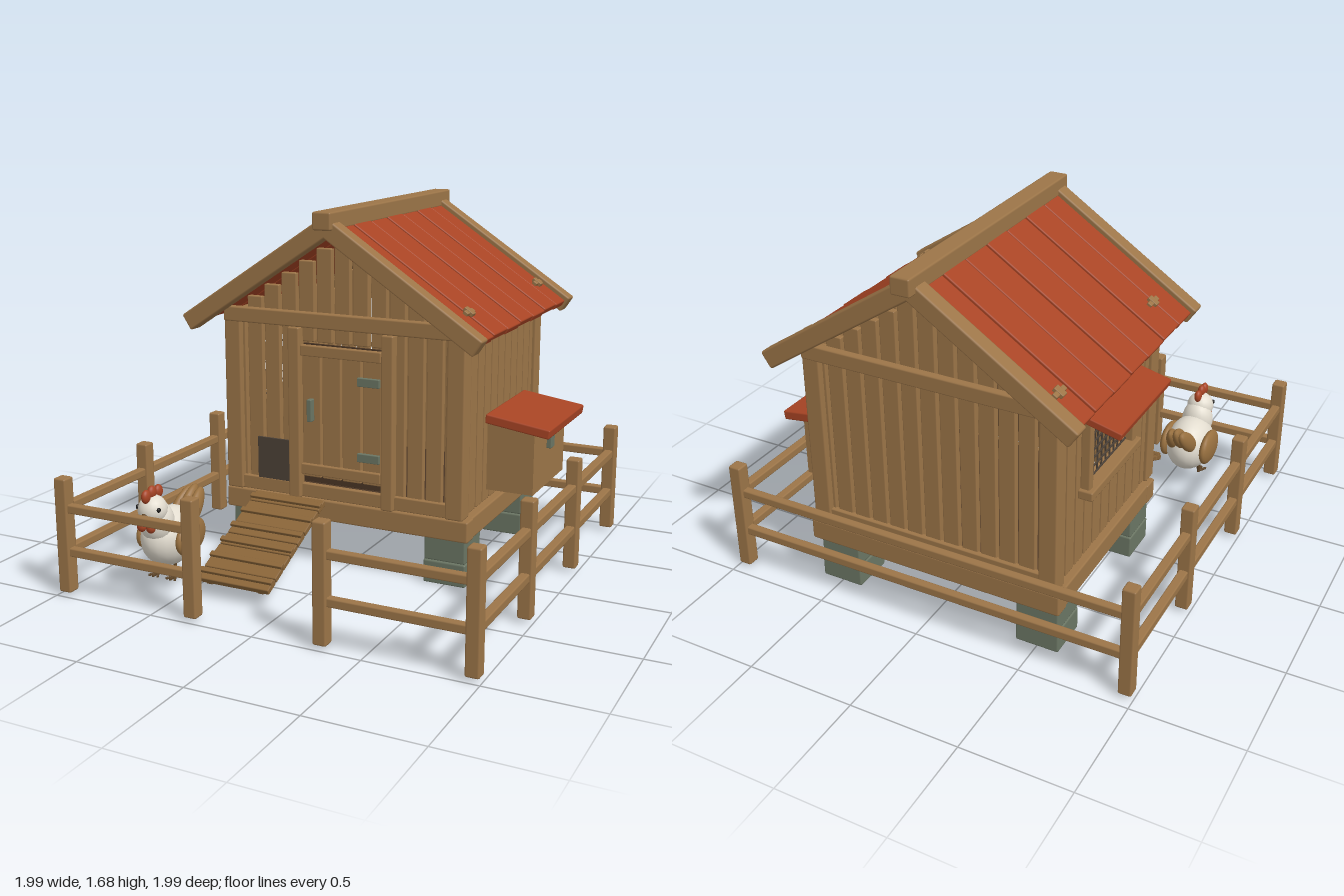
import * as THREE from 'three';
import { RoundedBoxGeometry } from 'three/addons/geometries/RoundedBoxGeometry.js';

const material = (name, color) => {
  const m = new THREE.MeshStandardMaterial({ color });
  m.name = name;
  return m;
};

export function createModel() {
  const wood = material('wood', 0x9c7548);
  const rampWood = material('rampWood', 0x8a6539);
  const red = material('redPaint', 0xa84424);
  const stone = material('stone', 0x6b7664);
  const dark = material('darkOpening', 0x4c4137);
  const floorBrown = material('floorBrown', 0x4a3524);
  const white = material('whiteFeathers', 0xe2dccf);
  const tan = material('tanFeathers', 0x98703f);
  const legBrown = material('legBrown', 0x5e4528);
  const black = material('eyeBlack', 0x1c1a18);

  const model = new THREE.Group();
  model.name = 'chickenCoop';
  const group = (name, parent = model) => {
    const g = new THREE.Group();
    g.name = name;
    parent.add(g);
    return g;
  };
  const add = (parent, name, geometry, mat, x, y, z) => {
    const mesh = new THREE.Mesh(geometry, mat);
    mesh.name = name;
    mesh.position.set(x, y, z);
    parent.add(mesh);
    return mesh;
  };
  // Softened timber block, sized w h d and centred on x y z
  const box = (parent, name, mat, w, h, d, x, y, z) =>
    add(parent, name, new RoundedBoxGeometry(w, h, d, 1, Math.min(w, h, d, 0.05) * 0.18), mat, x, y, z);
  // Ellipsoid with radii rx ry rz
  const ball = (parent, name, mat, rx, ry, rz, x, y, z) => {
    const mesh = add(parent, name, new THREE.SphereGeometry(1, 20, 14), mat, x, y, z);
    mesh.scale.set(rx, ry, rz);
    return mesh;
  };

  // Foundation: two stacked stones per corner, floor and sill beams
  const base = group('foundation');
  for (const x of [-0.5, 0.5]) for (const z of [0.04, -0.73]) {
    box(base, 'lowerStone', stone, 0.205, 0.11, 0.2, x, 0.055, z);
    box(base, 'upperStone', stone, 0.2, 0.115, 0.195, x, 0.167, z);
  }
  box(base, 'floor', floorBrown, 1.14, 0.11, 0.96, 0, 0.275, -0.35);
  for (const z of [0.125, -0.825]) box(base, 'endSill', wood, 1.24, 0.1, 0.08, 0, 0.273, z);
  for (const s of [-1, 1]) box(base, 'sideSill', wood, 0.07, 0.1, 1.0, s * 0.58, 0.273, -0.35);

  // Roof line shared by planks, bargeboards and gables
  const slope = 0.66, pitch = Math.atan(slope), ridgeY = 1.614;
  const roofY = x => ridgeY - slope * Math.abs(x);

  // Gable walls of spaced boards; the front leaves room for the door
  const walls = group('walls');
  for (const [z, front] of [[0.145, true], [-0.815, false]]) {
    for (let k = -6; k <= 6; k++) {
      const x = k * 0.0904;
      const top = roofY(Math.abs(x) + 0.038) - 0.03;
      const bottom = front && Math.abs(k) <= 2 ? 1.07 : 0.33;
      box(walls, 'gableBoard', wood, 0.077, top - bottom, 0.03, x, (top + bottom) / 2, z);
    }
    const trimZ = z + (front ? 0.032 : -0.03);
    box(walls, 'tieBeam', wood, 1.2, 0.07, 0.04, 0, 1.175, trimZ);
    box(walls, 'bottomRail', wood, 1.1, 0.065, 0.03, 0, 0.365, z + (front ? 0.018 : -0.018));
    for (const s of [-1, 1]) box(walls, 'cornerPost', wood, 0.085, 0.83, 0.085, s * 0.56, 0.745, z);
  }

  // Side walls; the -x wall is cut for the window
  for (const s of [-1, 1]) for (let k = -5; k <= 5; k++) {
    const z = -0.335 + k * 0.0885;
    const pieces = s < 0 && Math.abs(k) <= 2 ? [[0.33, 0.7], [1.0, 1.19]] : [[0.33, 1.19]];
    for (const [a, b] of pieces) box(walls, 'sideBoard', wood, 0.03, b - a, 0.076, s * 0.57, (a + b) / 2, z);
  }

  // Door with rails, hinges and handle
  const door = group('door');
  box(door, 'doorBacking', floorBrown, 0.42, 0.66, 0.01, 0.005, 0.73, 0.14);
  for (const x of [-0.23, 0.24]) box(door, 'doorPost', wood, 0.06, 0.81, 0.05, x, 0.735, 0.178);
  for (let i = 0; i < 4; i++) box(door, 'doorBoard', wood, 0.094, 0.6, 0.03, -0.148 + i * 0.102, 0.735, 0.165);
  for (const y of [0.475, 1.035]) box(door, 'doorRail', wood, 0.405, 0.05, 0.03, 0.005, y, 0.183);
  for (const y of [0.57, 0.92]) box(door, 'hinge', stone, 0.11, 0.04, 0.02, 0.155, y, 0.208);
  box(door, 'handle', stone, 0.024, 0.105, 0.035, -0.143, 0.76, 0.2);
  box(model, 'popHole', dark, 0.17, 0.2, 0.009, -0.345, 0.5, 0.185);

  // Roof: seven red planks a side, bargeboards, clips and ridge beam
  const roof = group('roof');
  for (const s of [-1, 1]) {
    for (let i = 0; i < 7; i++) {
      const lift = (i % 2) * 0.004;
      const p = box(roof, 'roofPlank', red, 0.842, 0.036, 0.167, s * 0.35, roofY(0.35) + lift, -0.838 + i * 0.175);
      p.rotation.z = -s * pitch;
    }
    for (const z of [0.3, -0.92]) {
      const b = box(roof, 'bargeboard', wood, 0.855, 0.083, 0.076, s * 0.356, roofY(0.356), z);
      b.rotation.z = -s * pitch;
    }
    for (const z of [0.11, -0.82]) {
      const clip = group('roofClip', roof);
      clip.position.set(s * 0.585, roofY(0.585) + 0.028, z);
      clip.rotation.z = -s * pitch;
      box(clip, 'clipBar', wood, 0.024, 0.02, 0.09, 0, 0, 0);
      box(clip, 'clipBlock', wood, 0.05, 0.02, 0.035, 0, 0.004, 0);
    }
  }
  box(roof, 'ridgeBeam', wood, 0.09, 0.08, 1.36, 0, 1.642, -0.32);

  // Window with wire mesh, frame and awning
  const win = group('window');
  const winZ = -0.365;
  for (let i = 0; i <= 10; i++) box(win, 'meshUpright', dark, 0.007, 0.32, 0.007, -0.59, 0.85, winZ - 0.21 + i * 0.042);
  for (let i = 0; i <= 7; i++) box(win, 'meshCrossbar', dark, 0.007, 0.007, 0.44, -0.594, 0.71 + i * 0.04, winZ);
  for (const s of [-1, 1]) box(win, 'windowJamb', wood, 0.045, 0.34, 0.04, -0.608, 0.85, winZ + s * 0.225);
  box(win, 'windowHead', wood, 0.045, 0.04, 0.49, -0.608, 1.0, winZ);
  box(win, 'windowSill', wood, 0.07, 0.045, 0.52, -0.616, 0.68, winZ);
  box(win, 'awning', red, 0.2, 0.034, 0.53, -0.672, 1.026, winZ).rotation.z = 0.24;

  // Nest box with sloping lid and latch
  const nest = group('nestBox');
  const profile = new THREE.Shape([[0.57, 0.38], [0.81, 0.38], [0.81, 0.67], [0.57, 0.705]].map(p => new THREE.Vector2(...p)));
  add(nest, 'nestBody', new THREE.ExtrudeGeometry(profile, { depth: 0.46, bevelEnabled: false }), wood, 0, 0, -0.62);
  box(nest, 'nestLid', red, 0.31, 0.045, 0.535, 0.737, 0.706, -0.392).rotation.z = -0.14;
  box(nest, 'latch', stone, 0.025, 0.068, 0.055, 0.82, 0.592, -0.375);

  // Ramp of cross boards with raised cleats
  const ramp = group('ramp');
  ramp.position.set(-0.255, 0.202, 0.462);
  ramp.rotation.x = 0.435;
  for (let i = 0; i < 8; i++) box(ramp, 'rampBoard', rampWood, 0.365, 0.026, 0.07, 0, 0, -0.26 + i * 0.0743);
  for (let i = 0; i < 6; i++) box(ramp, 'cleat', rampWood, 0.37, 0.016, 0.026, 0, 0.02, -0.25 + i * 0.1);
  for (const s of [-1, 1]) box(ramp, 'rampRunner', rampWood, 0.03, 0.02, 0.57, s * 0.13, -0.02, 0);

  // Fence, open at the front between the two gate posts
  const fence = group('fence');
  const postZ = [-0.925, -0.295, 0.352, 0.96];
  const post = (x, z) => box(fence, 'fencePost', wood, 0.062, 0.527, 0.062, x, 0.28, z);
  for (const s of [-1, 1]) {
    for (const z of postZ) post(s * 0.962, z);
    post(s * 0.308, 0.96);
    for (const y of [0.205, 0.405]) {
      box(fence, 'sideRail', wood, 0.042, 0.04, 1.885, s * 0.962, y, 0.0175);
      box(fence, 'frontRail', wood, 0.655, 0.04, 0.04, s * 0.635, y, 0.96);
    }
  }
  for (const y of [0.205, 0.405]) box(fence, 'backRail', wood, 1.92, 0.04, 0.04, 0, y, -0.925);

  // Hen, facing the front
  const hen = group('hen');
  hen.position.set(-0.605, 0, 0);
  ball(hen, 'body', white, 0.115, 0.135, 0.155, 0, 0.245, 0.685);
  ball(hen, 'neck', white, 0.078, 0.1, 0.075, 0, 0.335, 0.775);
  ball(hen, 'head', white, 0.066, 0.068, 0.066, 0, 0.4, 0.805);
  const beak = add(hen, 'beak', new THREE.ConeGeometry(0.022, 0.065, 10), legBrown, 0, 0.385, 0.885);
  beak.rotation.x = Math.PI / 2;
  for (const [y, z] of [[0.472, 0.76], [0.48, 0.808], [0.472, 0.852]]) ball(hen, 'comb', red, 0.018, 0.031, 0.026, 0, y, z);
  for (const s of [-1, 1]) {
    ball(hen, 'wattle', red, 0.022, 0.026, 0.02, s * 0.024, 0.337, 0.858);
    ball(hen, 'eye', black, 0.008, 0.011, 0.011, s * 0.055, 0.415, 0.838);
    ball(hen, 'wing', tan, 0.032, 0.085, 0.112, s * 0.104, 0.25, 0.672).rotation.x = 0.1;
    add(hen, 'leg', new THREE.CylinderGeometry(0.008, 0.008, 0.08, 8), legBrown, s * 0.046, 0.105, 0.715);
    for (const a of [-0.5, 0, 0.5]) {
      const toe = box(hen, 'toe', legBrown, 0.01, 0.01, 0.055, s * 0.046 + Math.sin(a) * 0.022, 0.066, 0.735);
      toe.rotation.y = a;
    }
  }
  for (const k of [-1, 0, 1]) {
    const feather = ball(hen, 'tailFeather', tan, 0.027, 0.043, 0.105, k * 0.04, 0.335 + (k ? 0 : 0.01), 0.53);
    feather.rotation.set(0.75, k * 0.12, 0);
  }

  return model;
}
